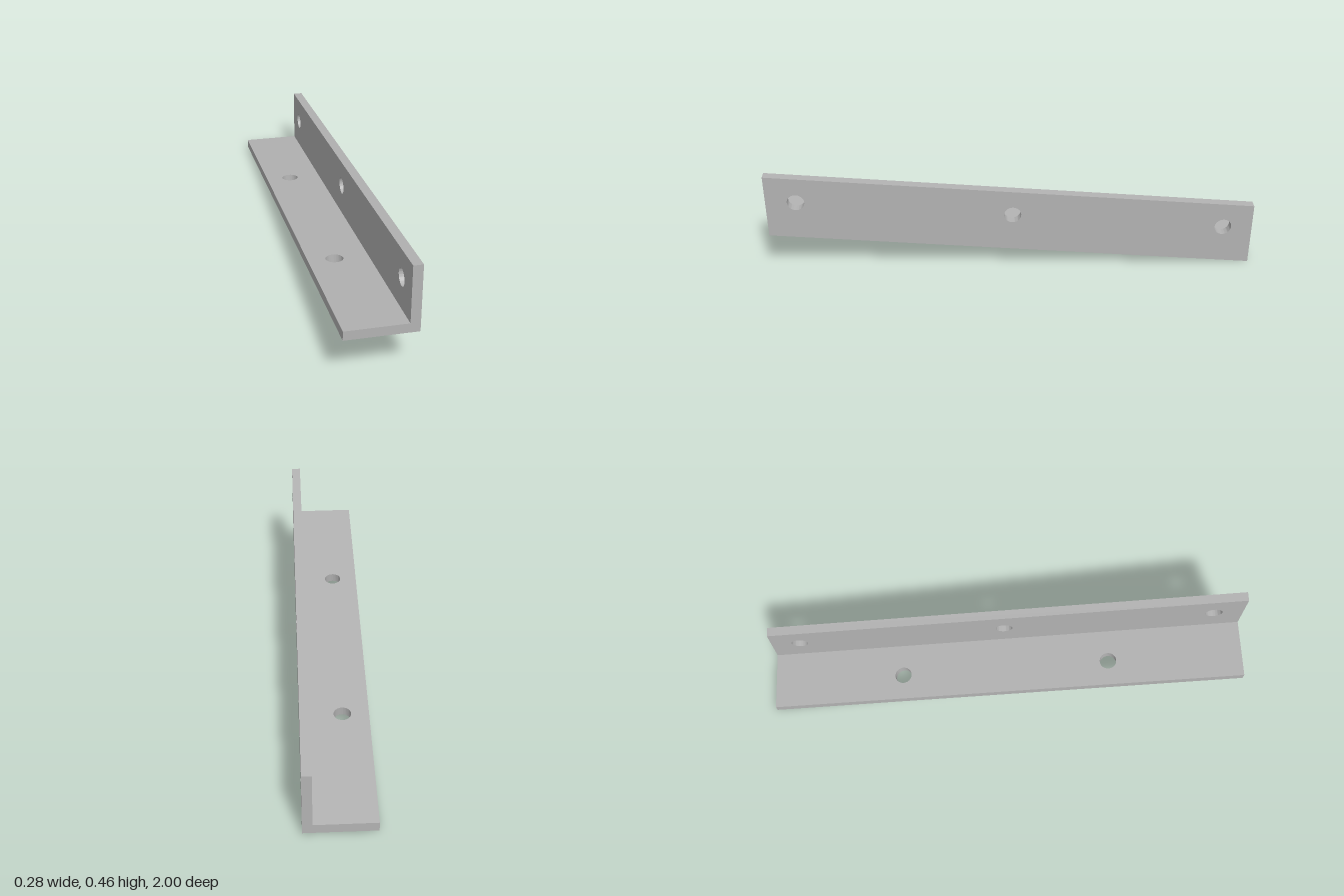
import * as THREE from 'three';
import { toCreasedNormals } from 'three/addons/utils/BufferGeometryUtils.js';

const SLOPE = 0.093;   // rise of the bar towards the front
const TILT = -0.01;    // slight fall of the flange across x
const HOLE = 0.035;
const THICK = 0.038;
const INNER = 0.101;   // inner face of the upright

// Plate outline with round holes, extruded to a thickness
function plate(corners, holes, depth) {
  const shape = new THREE.Shape(corners.map(([x, y]) => new THREE.Vector2(x, y)));
  for (const [x, y] of holes) {
    shape.holes.push(new THREE.Path().absarc(x, y, HOLE, 0, Math.PI * 2, true));
  }
  return new THREE.ExtrudeGeometry(shape, { depth, bevelEnabled: false, curveSegments: 32 });
}

export function createModel() {
  const group = new THREE.Group();
  group.name = 'angleBracket';
  const steel = new THREE.MeshStandardMaterial({ color: 0xb3b3b3 });
  steel.name = 'grey steel';

  const add = (name, geometry) => {
    const mesh = new THREE.Mesh(toCreasedNormals(geometry, 0.5), steel);
    mesh.name = name;
    group.add(mesh);
  };

  // Upright: a slanted plate with vertical ends and three holes
  const foot = (z) => 0.093 + SLOPE * z;
  const height = 0.272;
  const upright = plate(
    [[-1, foot(1)], [1, foot(-1)], [1, foot(-1) + height], [-1, foot(1) + height]],
    [0.878, 0, -0.878].map((z) => [-z, foot(z) + 0.164]),
    THICK
  );
  upright.rotateY(Math.PI / 2).translate(INNER, 0, 0);
  add('uprightFlange', upright);

  // Flat flange with two holes bored square to its slope
  const flange = plate(
    [[-0.14, -1], [INNER, -1], [INNER, 1], [-0.14, 1]],
    [[-0.034, -0.44], [-0.034, 0.44]],
    THICK
  );
  flange.rotateX(-Math.PI / 2);
  const p = flange.attributes.position;
  for (let i = 0; i < p.count; i++) {
    const x = p.getX(i), h = p.getY(i);
    let z = p.getZ(i);
    if (Math.abs(z) < 0.9) z -= SLOPE * (h - THICK / 2);
    p.setXYZ(i, x, 0.0944 + h + SLOPE * z + TILT * x, z);
  }
  add('flatFlange', flange);

  return group;
}
